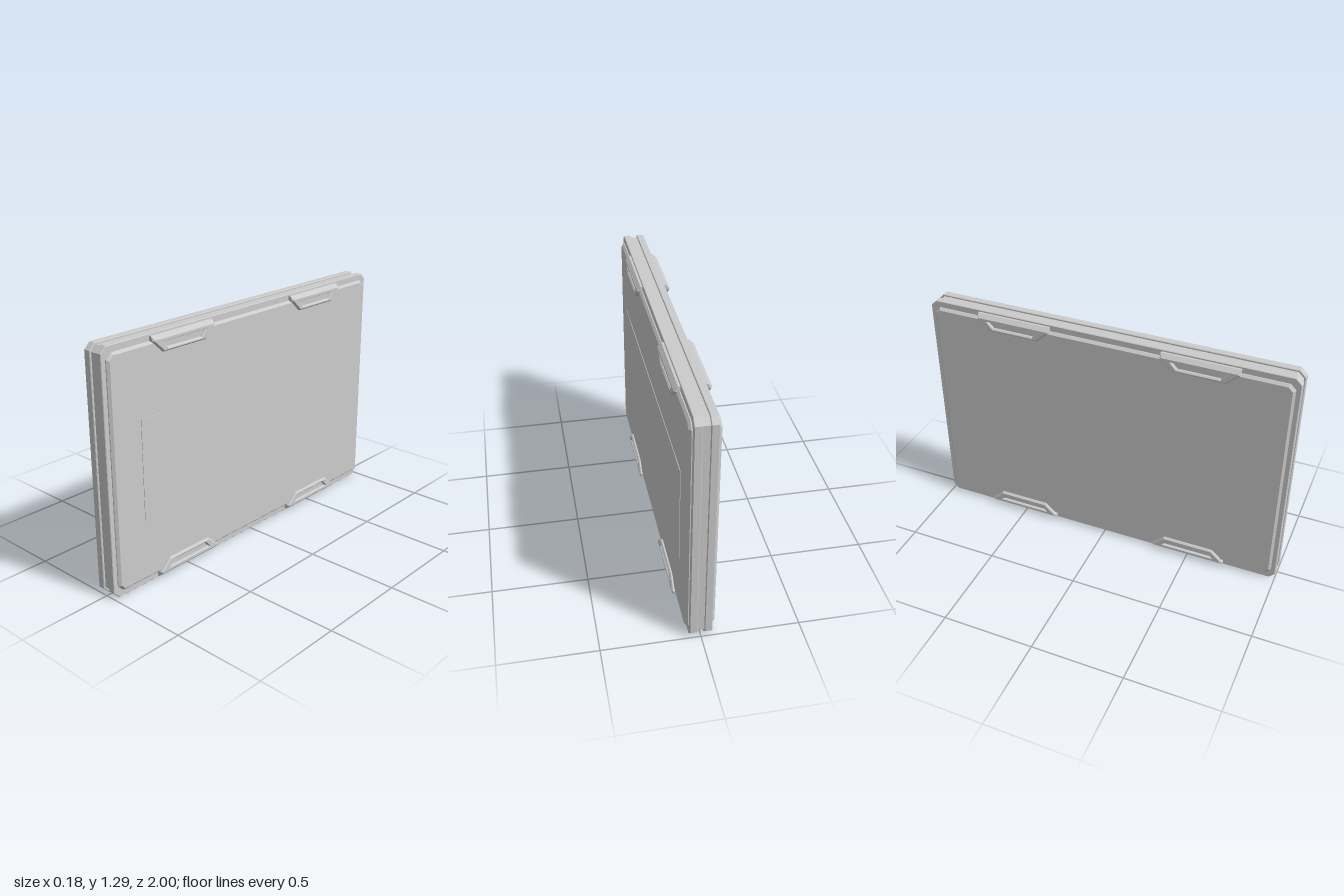
import * as THREE from 'three';

const H = 1.286, MID = H / 2;
const grey = new THREE.MeshStandardMaterial({ color: 0xcccccc });

// Rectangle with cut corners, in the (z, y) plane of the slab
function plateShape(halfWidth, halfHeight, cut) {
  const w = halfWidth, h = halfHeight, c = cut;
  return new THREE.Shape([
    [-w + c, -h], [w - c, -h], [w, -h + c], [w, h - c],
    [w - c, h], [-w + c, h], [-w, h - c], [-w, -h + c],
  ].map(([u, v]) => new THREE.Vector2(u, v + MID)));
}

// Extrudes a shape along x from x0 to x1, chamfered by bevel at both ends
function slab(shape, x0, x1, bevel = 0) {
  const geo = new THREE.ExtrudeGeometry(shape, {
    depth: x1 - x0 - 2 * bevel,
    bevelEnabled: bevel > 0,
    bevelThickness: bevel, bevelSize: bevel, bevelOffset: -bevel, bevelSegments: 1,
  });
  return geo.translate(0, 0, x0 + bevel).rotateY(Math.PI / 2);
}

function add(parent, name, geometry) {
  const mesh = new THREE.Mesh(geometry, grey);
  mesh.name = name;
  parent.add(mesh);
  return mesh;
}

// Trapezoid bumper with a recessed slot, for the top edge of the +x face
function bumperGeometry() {
  const pts = (list) => list.map(([u, v]) => new THREE.Vector2(u, v));
  const shape = new THREE.Shape(pts([
    [-0.14, 1.19], [0.14, 1.19], [0.204, 1.25], [0.204, 1.276], [-0.204, 1.276], [-0.204, 1.25],
  ]));
  shape.holes.push(new THREE.Path(pts([
    [-0.112, 1.209], [-0.142, 1.24], [0.142, 1.24], [0.112, 1.209],
  ])));
  const geo = slab(shape, 0.045, 0.089, 0.007);
  // Slope the outer edge back toward the rim
  const p = geo.attributes.position;
  for (let i = 0; i < p.count; i++) {
    if (p.getY(i) < 1.26) continue;
    if (p.getX(i) > 0.085) p.setY(i, 1.257);
    else if (p.getX(i) > 0.07) p.setX(i, 0.069);
  }
  geo.computeVertexNormals();
  return geo;
}

export function createModel() {
  const model = new THREE.Group();
  model.name = 'flatCase';

  // Recessed core seen in the seam between the two halves
  add(model, 'core', slab(plateShape(0.99, MID - 0.01, 0.028), -0.03, 0.03));

  const bumper = bumperGeometry();
  for (const side of [1, -1]) {
    const half = new THREE.Group();
    half.name = side > 0 ? 'leftHalf' : 'rightHalf';
    half.rotation.y = side > 0 ? 0 : Math.PI;
    model.add(half);

    add(half, 'rim', slab(plateShape(1, MID, 0.032), 0.018, 0.057, 0.003));
    add(half, 'panel', slab(plateShape(0.975, MID - 0.034, 0.03), 0.045, 0.074, 0.012));

    // Two bumpers along the top edge, two along the bottom
    for (const z of [-0.505, 0.505]) {
      add(half, 'topBumper', bumper).position.z = z;
      const low = add(half, 'bottomBumper', bumper);
      low.rotation.x = Math.PI;
      low.position.set(0, H, z);
    }
  }

  // Thin plate on the left face only
  const plate = add(model, 'facePlate', new THREE.BoxGeometry(0.006, 0.53, 1.61));
  plate.position.set(0.0735, 0.625, -0.01);

  return model;
}
